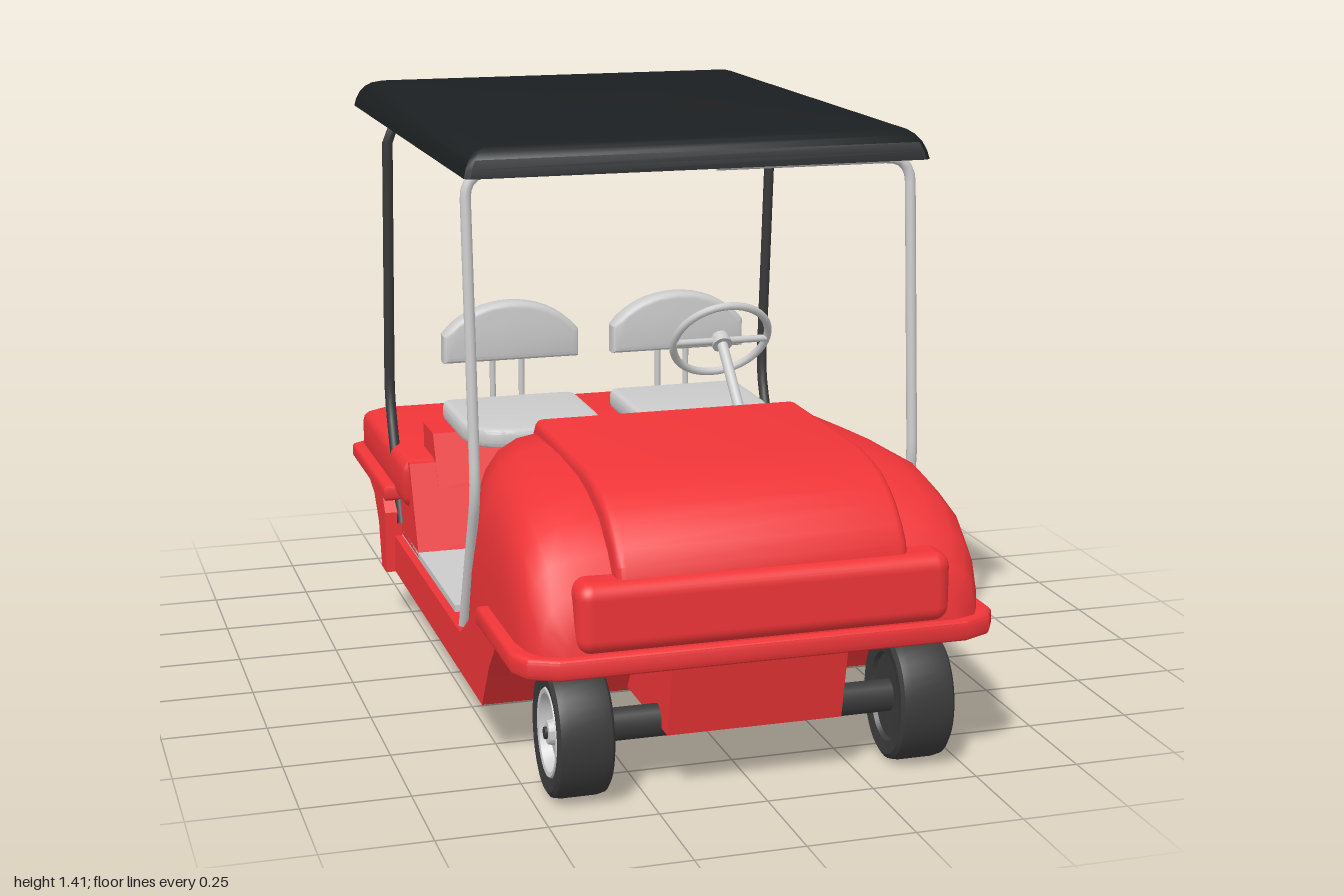
import * as THREE from 'three';
import { toCreasedNormals } from 'three/addons/utils/BufferGeometryUtils.js';
import { RoundedBoxGeometry } from 'three/addons/geometries/RoundedBoxGeometry.js';

const mat = (color) => new THREE.MeshStandardMaterial({ color, side: THREE.DoubleSide });
const red = mat(0xef3538), grey = mat(0xcccccc), dark = mat(0x3a3a3a), black = mat(0x1c1f21);

export function createModel() {
  const cart = new THREE.Group();
  cart.name = 'golfCart';

  const add = (name, geo, material, x = 0, y = 0, z = 0, parent = cart) => {
    const m = new THREE.Mesh(geo, material);
    m.name = name;
    m.position.set(x, y, z);
    parent.add(m);
    return m;
  };
  const toShape = (pts) => new THREE.Shape(pts.map(([a, b]) => new THREE.Vector2(a, b)));
  const bevel = (b, depth) => ({ depth: depth - 2 * b, bevelEnabled: b > 0, bevelSize: b, bevelThickness: b, bevelOffset: -b, bevelSegments: 3, curveSegments: 16 });

  // Side outline in (z, y), extruded across x to a half width
  const sideExtrude = (pts, half, b = 0) => {
    const g = new THREE.ExtrudeGeometry(toShape(pts), bevel(b, half * 2));
    g.translate(0, 0, b - half).rotateY(-Math.PI / 2);
    return toCreasedNormals(g, 0.6);
  };
  // Plan outline with y = -z, extruded upward from y0 to y1
  const planExtrude = (shape, y0, y1, b = 0) => {
    const g = new THREE.ExtrudeGeometry(shape, bevel(b, y1 - y0));
    g.translate(0, 0, b).rotateX(-Math.PI / 2).translate(0, y0, 0);
    return toCreasedNormals(g, 0.6);
  };
  // Skin over closed rings of points, with both ends capped if asked
  const loft = (rings, capFirst, capLast, crease = 0.9) => {
    const n = rings[0].length, pos = rings.flat(2), idx = [];
    for (let i = 0; i < rings.length - 1; i++) for (let j = 0; j < n; j++) {
      const a = i * n + j, b = i * n + (j + 1) % n;
      idx.push(a, b, b + n, a, b + n, a + n);
    }
    const cap = (r, flip) => {
      const c = pos.length / 3, s = r * n;
      for (let k = 0; k < 3; k++) pos.push(rings[r].reduce((t, p) => t + p[k], 0) / n);
      for (let j = 0; j < n; j++) {
        const a = s + j, b = s + (j + 1) % n;
        idx.push(c, flip ? b : a, flip ? a : b);
      }
    };
    if (capFirst) cap(0, true);
    if (capLast) cap(rings.length - 1, false);
    const g = new THREE.BufferGeometry();
    g.setAttribute('position', new THREE.Float32BufferAttribute(pos, 3));
    g.setIndex(idx);
    return toCreasedNormals(g, crease);
  };
  // Bent tube: straight runs with rounded corners
  const tube = (pts, r, bend = 0.06) => {
    const v = pts.map((p) => new THREE.Vector3(...p)), path = new THREE.CurvePath();
    let from = v[0];
    for (let i = 1; i < v.length - 1; i++) {
      const a = v[i].clone().add(v[i - 1].clone().sub(v[i]).setLength(bend));
      const b = v[i].clone().add(v[i + 1].clone().sub(v[i]).setLength(bend));
      path.add(new THREE.LineCurve3(from, a));
      path.add(new THREE.QuadraticBezierCurve3(a, v[i], b));
      from = b;
    }
    path.add(new THREE.LineCurve3(from, v[v.length - 1]));
    return new THREE.TubeGeometry(path, 80, r, 10, false);
  };

  // Lower hull, floor and the boxes between the wheels
  add('lowerHull', sideExtrude([[0.585, 0.135], [0.66, 0.25], [0.735, 0.33], [0.735, 0.36], [0.55, 0.36], [0.36, 0.235], [-0.5, 0.235], [-0.52, 0.135]], 0.55), red);
  add('floorMat', new THREE.BoxGeometry(1.06, 0.02, 0.7), grey, 0, 0.242, -0.14);
  add('frontKeel', sideExtrude([[0.5, 0.145], [0.91, 0.145], [0.95, 0.34], [0.5, 0.34]], 0.205), red);
  add('rearKeel', sideExtrude([[-0.4, 0.135], [-0.4, 0.34], [-0.905, 0.34], [-0.85, 0.135]], 0.27, 0.02), red);

  // Front cowl: sections as [zBottom, zTop, halfWidth, base, top]
  const half = [[1, 0], [1, 0.35], [0.985, 0.62], [0.95, 0.79], [0.89, 0.9], [0.8, 0.965], [0.64, 1]];
  const arch = [...half, ...half.map(([a, b]) => [-a, b]).reverse()];
  const sections = [
    [0.08, 0.215, 0.46, 0.235, 0.65], [0.10, 0.25, 0.475, 0.235, 0.685], [0.24, 0.38, 0.505, 0.235, 0.686],
    [0.36, 0.50, 0.53, 0.235, 0.686], [0.60, 0.64, 0.535, 0.33, 0.68], [0.74, 0.72, 0.535, 0.33, 0.665],
    [0.85, 0.82, 0.535, 0.33, 0.63], [0.92, 0.89, 0.525, 0.33, 0.575], [0.965, 0.945, 0.5, 0.33, 0.51], [0.985, 0.97, 0.45, 0.33, 0.43],
  ];
  add('frontCowl', loft(sections.map(([zb, zt, w, base, top]) =>
    arch.map(([a, b]) => [a * w, base + (top - base) * b, zb + (zt - zb) * b])), true, true), red);
  add('hood', sideExtrude([[0.2, 0.5], [0.175, 0.63], [0.24, 0.71], [0.68, 0.71], [0.75, 0.7], [0.81, 0.685], [0.86, 0.662],
    [0.9, 0.635], [0.94, 0.595], [0.965, 0.56], [0.975, 0.5], [0.975, 0.36], [0.6, 0.36]], 0.335, 0.02), red);
  add('nosePanel', new RoundedBoxGeometry(0.86, 0.16, 0.14, 4, 0.035), red, 0, 0.455, 0.928);
  add('frontLip', planExtrude(toShape([[0.56, -0.58], [0.56, -0.92], [0.535, -0.965], [0.47, -0.995], [-0.47, -0.995],
    [-0.535, -0.965], [-0.56, -0.92], [-0.56, -0.58]]), 0.325, 0.375, 0.012), red);

  // Dashboard, tilted with the back of the cowl
  const dash = new THREE.Group();
  dash.name = 'dashboard';
  dash.position.set(0, 0.235, 0.08);
  dash.rotation.x = 0.315;
  cart.add(dash);
  add('dashPanel', new THREE.ExtrudeGeometry(toShape([[-0.45, 0.01], [0.45, 0.01], [0.45, 0.25], [0.37, 0.385], [-0.37, 0.385], [-0.45, 0.25]]),
    { depth: 0.012, bevelEnabled: false }), dark, 0, 0, -0.014, dash);
  for (const x of [0.215, -0.215]) {
    add('dashPod', new THREE.BoxGeometry(0.13, 0.15, 0.025), red, x, 0.325, -0.022, dash);
    const pocket = add('dashPodPocket', new THREE.CylinderGeometry(0.04, 0.04, 0.03, 20), red, x, 0.29, -0.03, dash);
    pocket.rotation.x = Math.PI / 2;
  }

  // Rear deck, lip, quarter skirts and seat pedestal
  const rearPlan = (w, z0, z1, c) => toShape([[-w, -z0], [-w, -z1 - c * 0.7], [-w + c, -z1], [w - c, -z1], [w, -z1 - c * 0.7], [w, -z0]].reverse());
  add('rearLip', planExtrude(rearPlan(0.575, -0.46, -1, 0.085), 0.33, 0.372, 0.01), red);
  add('rearDeck', planExtrude(rearPlan(0.545, -0.34, -0.968, 0.06), 0.34, 0.47, 0.03), red);
  for (const s of [-1, 1]) {
    add('rearSkirt', sideExtrude([[-0.455, 0.135], [-0.455, 0.3], [-0.5, 0.36], [-0.67, 0.36], [-0.67, 0.335], [-0.61, 0.315], [-0.55, 0.25], [-0.52, 0.135]], 0.03),
      red, s * 0.545);
  }
  add('seatPedestal', sideExtrude([[-0.23, 0.24], [-0.33, 0.465], [-0.6, 0.465], [-0.6, 0.24]], 0.53), red);
  add('seatRiser', sideExtrude([[-0.3, 0.4], [-0.36, 0.535], [-0.485, 0.535], [-0.475, 0.4]], 0.46), red);

  // Seats
  const cushion = new THREE.Shape();
  cushion.moveTo(-0.15, 0.52).lineTo(0.15, 0.52).quadraticCurveTo(0.185, 0.52, 0.185, 0.48);
  cushion.lineTo(0.185, 0.27).quadraticCurveTo(0.17, 0.16, 0.09, 0.15).quadraticCurveTo(0, 0.135, -0.09, 0.15);
  cushion.quadraticCurveTo(-0.17, 0.16, -0.185, 0.27).lineTo(-0.185, 0.48).quadraticCurveTo(-0.185, 0.52, -0.15, 0.52);
  const back = new THREE.Shape();
  back.moveTo(-0.185, 0.695).lineTo(0.185, 0.695).lineTo(0.185, 0.77);
  back.bezierCurveTo(0.1, 0.882, -0.1, 0.882, -0.185, 0.77);
  for (const x of [0.245, -0.22]) {
    const seat = new THREE.Group();
    seat.name = 'seat';
    seat.position.x = x;
    cart.add(seat);
    add('seatCushion', planExtrude(cushion, 0.535, 0.587, 0.014), grey, 0, 0, 0, seat);
    add('seatBack', toCreasedNormals(new THREE.ExtrudeGeometry(back, bevel(0.015, 0.06)), 0.6), grey, 0, 0, -0.5, seat);
    add('seatBackFrame', tube([[-0.04, 0.54, -0.44], [-0.04, 0.54, -0.522], [-0.04, 0.78, -0.522], [0.04, 0.78, -0.522],
      [0.04, 0.54, -0.522], [0.04, 0.54, -0.44]], 0.008, 0.03), grey, 0, 0, 0, seat);
  }

  // Steering wheel: built flat, axis turned toward the driver
  const steering = new THREE.Group();
  steering.name = 'steeringWheel';
  steering.position.set(0.215, 0.822, -0.004);
  steering.rotation.x = -0.94;
  cart.add(steering);
  const rim = add('steeringRim', new THREE.TorusGeometry(0.124, 0.01, 10, 40), grey, 0, 0, 0, steering);
  rim.rotation.x = Math.PI / 2;
  const spoke = add('steeringSpokes', new THREE.CylinderGeometry(0.009, 0.009, 0.24, 8), grey, 0, -0.005, 0, steering);
  spoke.rotation.z = Math.PI / 2;
  add('steeringHub', new THREE.CylinderGeometry(0.022, 0.026, 0.03, 16), grey, 0, -0.005, 0, steering);
  add('steeringColumn', tube([[0.215, 0.822, 0], [0.215, 0.6, 0.225]], 0.014), grey);

  // Pedals
  for (const x of [0.16, 0.27]) {
    add('pedalArm', tube([[x, 0.25, 0.05], [x, 0.4, 0.125]], 0.008), grey);
    const pad = add('pedalPad', new THREE.BoxGeometry(0.05, 0.07, 0.012), grey, x, 0.36, 0.09);
    pad.rotation.x = 0.46;
  }

  // Roof shell: rings as [y, inset]
  const roofRing = ([y, d]) => {
    const w = 0.555 - d, l = 0.705 - d, c = 0.012;
    return [[w, l - c], [w, c - l], [w - c, -l], [c - w, -l], [-w, c - l], [-w, l - c], [c - w, l], [w - c, l]].map(([x, z]) => [x, y, z - 0.185]);
  };
  add('roof', loft([[1.352, 0.03], [1.34, 0.012], [1.34, 0], [1.36, 0.005], [1.38, 0.014], [1.396, 0.027], [1.406, 0.042], [1.411, 0.06]].map(roofRing), true, true, 0.7), black);

  // Roof posts: two front halves and one rear hoop
  for (const [s, dz] of [[1, 0], [-1, -0.05]]) {
    add('frontRoofPost', tube([[s * 0.53, 0.235, 0.36 + dz], [s * 0.53, 0.6, 0.51 + dz], [s * 0.53, 1.338, 0.45 + dz], [s * 0.05, 1.338, 0.45 + dz]], 0.013), grey);
  }
  const side = [[0.53, 0.27, -0.45], [0.53, 0.59, -0.59], [0.53, 1.335, -0.53]];
  add('rearRoofHoop', tube([...side, ...side.map(([x, y, z]) => [-x, y, z]).reverse()], 0.014), dark);

  // Wheels, slightly narrower front to back than tall
  const lathe = (pts) => toCreasedNormals(new THREE.LatheGeometry(pts.map(([r, h]) => new THREE.Vector2(r, h)), 40).rotateZ(-Math.PI / 2), 0.6);
  const tyre = lathe([[0, -0.05], [0.1, -0.05], [0.105, -0.06], [0.135, -0.065], [0.146, -0.058], [0.15, -0.04], [0.15, 0.04], [0.146, 0.058],
    [0.135, 0.065], [0.105, 0.06], [0.1, 0.03]]);
  const wheelRim = lathe([[0.104, 0.055], [0.1, 0.062], [0.09, 0.06], [0.082, 0.035], [0.06, 0.03], [0.052, 0.042], [0.03, 0.046], [0.026, 0.06], [0, 0.062]]);
  for (const z of [0.835, -0.72]) for (const s of [-1, 1]) {
    const wheel = new THREE.Group();
    wheel.name = z > 0 ? 'frontWheel' : 'rearWheel';
    wheel.position.set(s * 0.4, 0.152, z);
    wheel.rotation.y = s > 0 ? 0 : Math.PI;
    wheel.scale.z = 0.83;
    cart.add(wheel);
    add('tyre', tyre, dark, 0, 0, 0, wheel);
    add('wheelRim', wheelRim, grey, 0, 0, 0, wheel);
    add('hubCap', new THREE.CylinderGeometry(0.014, 0.014, 0.01, 16).rotateZ(Math.PI / 2), dark, 0.062, 0, 0, wheel);
    add('axle', new THREE.CylinderGeometry(0.038, 0.038, 0.22, 16).rotateZ(Math.PI / 2), dark, -0.145, 0.003, 0, wheel);
  }
  return cart;
}
